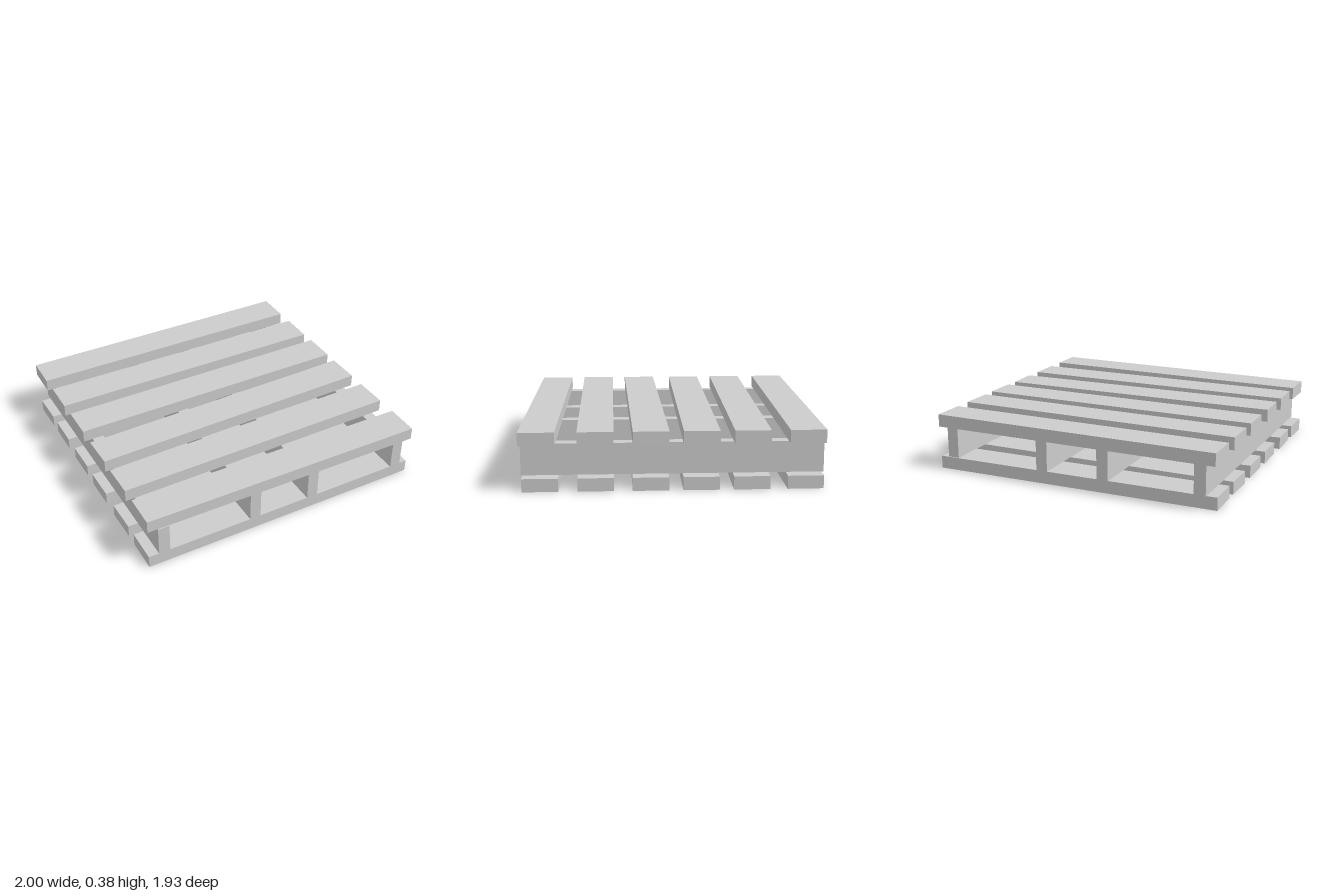
import * as THREE from 'three';

export function createModel() {
  const pallet = new THREE.Group();
  pallet.name = 'pallet';
  const wood = new THREE.MeshStandardMaterial({ color: 0xcccccc, flatShading: true });

  function addPlank(parent, name, [w, h, d], [x, y, z], turn) {
    const plank = new THREE.Mesh(new THREE.BoxGeometry(w, h, d), wood);
    plank.name = name;
    plank.position.set(x, y, z);
    plank.rotation.y = turn;
    parent.add(plank);
  }

  // A layer of slats running along x: [centre x, z at left edge, z at right edge]
  function addDeck(name, y, slats) {
    const deck = new THREE.Group();
    deck.name = name;
    slats.forEach(([x, z0, z1], i) => {
      addPlank(deck, `${name}Slat${i + 1}`, [1.98, 0.085, 0.229],
        [x, y, (z0 + z1) / 2], Math.atan2(z0 - z1, 1.98));
    });
    pallet.add(deck);
  }

  // Slats are laid slightly askew, back to front
  addDeck('topDeck', 0.338, [
    [-0.009, -0.855, -0.852],
    [-0.006, -0.508, -0.504],
    [-0.001, -0.174, -0.184],
    [0, 0.186, 0.134],
    [0.002, 0.512, 0.482],
    [0.005, 0.838, 0.849],
  ]);
  addDeck('bottomDeck', 0.0425, [
    [-0.008, -0.808, -0.841],
    [-0.005, -0.502, -0.501],
    [-0.002, -0.16, -0.182],
    [0, 0.166, 0.137],
    [0.002, 0.525, 0.482],
    [0.005, 0.837, 0.831],
  ]);

  // Upright bearers running front to back between the decks
  const bearers = new THREE.Group();
  bearers.name = 'bearers';
  [[-0.888, 0], [-0.232, -0.003], [0.205, -0.003], [0.885, -0.005]].forEach(([x, z], i) => {
    addPlank(bearers, `bearer${i + 1}`, [0.078, 0.203, 1.918], [x, 0.194, z], 0.01);
  });
  pallet.add(bearers);

  return pallet;
}
